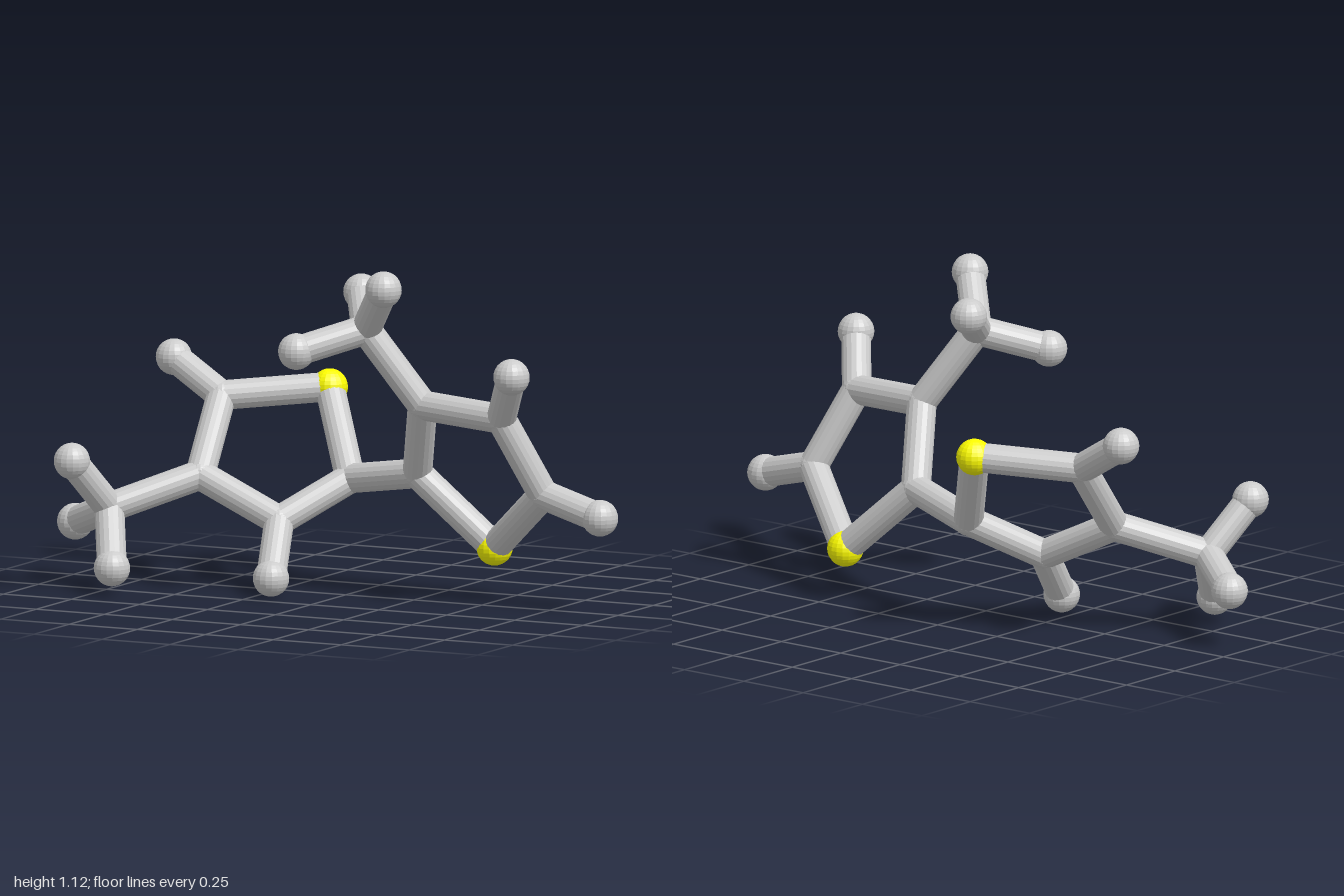
import * as THREE from 'three';

// Atom centres: two five-sided rings, each with a three-pronged branch
const atoms = {
  // left-hand ring (-x)
  sulfurA: [-0.245, 0.625, -0.36],
  carbonA1: [-0.55, 0.6, -0.18],
  carbonA2: [-0.525, 0.365, 0.02],
  carbonA3: [-0.245, 0.23, 0.0],
  carbonA4: [-0.085, 0.355, -0.195],
  hydrogenA1: [-0.74, 0.71, -0.21],
  hydrogenA3: [-0.2, 0.062, 0.145],
  carbonA5: [-0.755, 0.268, 0.22],
  hydrogenA5: [-0.82, 0.435, 0.36],
  hydrogenA6: [-0.94, 0.195, 0.105],
  hydrogenA7: [-0.68, 0.09, 0.347],
  // right-hand ring (+x)
  sulfurB: [0.465, 0.17, -0.157],
  carbonB1: [0.72, 0.38, -0.01],
  carbonB2: [0.615, 0.635, 0.085],
  carbonB3: [0.3, 0.652, 0.035],
  carbonB4: [0.205, 0.402, -0.112],
  hydrogenB1: [0.94, 0.32, 0.012],
  hydrogenB2: [0.712, 0.794, 0.2],
  carbonB5: [0.135, 0.902, 0.118],
  hydrogenB5: [0.26, 1.057, 0.235],
  hydrogenB6: [0.03, 0.997, -0.053],
  hydrogenB7: [-0.04, 0.838, 0.275],
};

// Side arms of each ring
const branches = {
  A: [['carbonA1', 'hydrogenA1'], ['carbonA3', 'hydrogenA3'], ['carbonA2', 'carbonA5']],
  B: [['carbonB1', 'hydrogenB1'], ['carbonB2', 'hydrogenB2'], ['carbonB3', 'carbonB5']],
};

const BOND_RADIUS = 0.049;
const BALL_RADIUS = 0.06;

export function createModel() {
  const model = new THREE.Group();
  model.name = 'stickMolecule';
  const grey = new THREE.MeshStandardMaterial({ color: 0xcccccc, flatShading: true });
  const yellow = new THREE.MeshStandardMaterial({ color: 0xffff00, flatShading: true });

  const ball = new THREE.SphereGeometry(BALL_RADIUS, 18, 14);
  const joint = new THREE.SphereGeometry(BOND_RADIUS + 0.001, 18, 14);
  const stick = new THREE.CylinderGeometry(BOND_RADIUS, BOND_RADIUS, 1, 18);
  const up = new THREE.Vector3(0, 1, 0);

  // Balls at the ends, flush joints at the carbons
  for (const [name, position] of Object.entries(atoms)) {
    const isCarbon = name.startsWith('carbon');
    const material = name.startsWith('sulfur') ? yellow : grey;
    const mesh = new THREE.Mesh(isCarbon ? joint : ball, material);
    mesh.name = name;
    mesh.position.fromArray(position);
    model.add(mesh);
  }

  // A stick between two atoms
  function addBond(from, to) {
    const a = new THREE.Vector3(...atoms[from]);
    const b = new THREE.Vector3(...atoms[to]);
    const direction = b.clone().sub(a);
    const mesh = new THREE.Mesh(stick, grey);
    mesh.name = `bond ${from} to ${to}`;
    mesh.position.copy(a).add(b).multiplyScalar(0.5);
    mesh.scale.y = direction.length();
    mesh.quaternion.setFromUnitVectors(up, direction.normalize());
    model.add(mesh);
  }

  for (const side of ['A', 'B']) {
    // closed five-sided ring
    const ring = [`sulfur${side}`];
    for (let i = 1; i <= 4; i++) ring.push(`carbon${side}${i}`);
    ring.forEach((name, i) => addBond(name, ring[(i + 1) % ring.length]));
    // side arms, then the three prongs of the branch
    for (const [from, to] of branches[side]) addBond(from, to);
    for (const i of [5, 6, 7]) addBond(`carbon${side}5`, `hydrogen${side}${i}`);
  }

  // link between the rings
  addBond('carbonA4', 'carbonB4');

  return model;
}
